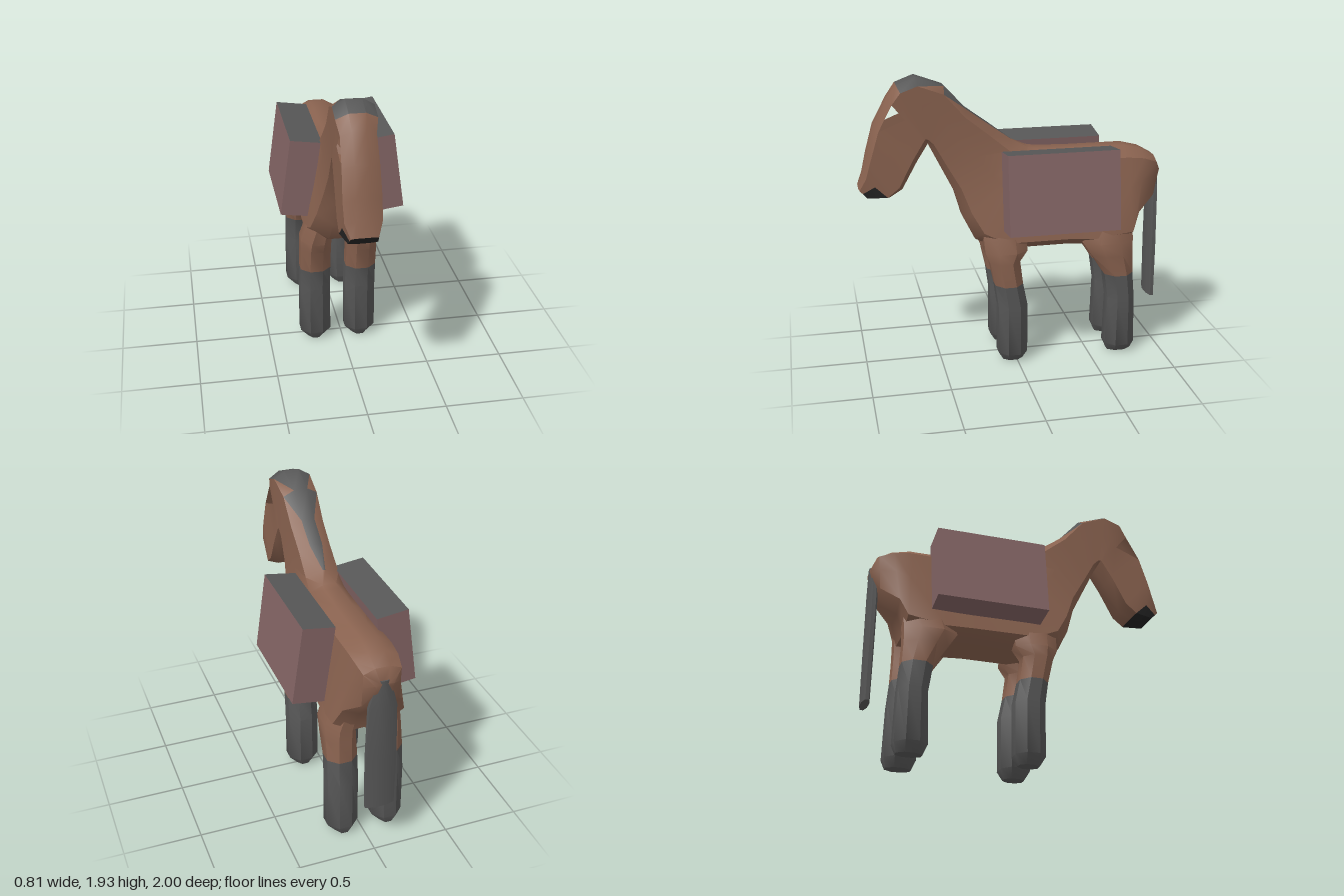
import * as THREE from 'three';
import { toCreasedNormals } from 'three/addons/utils/BufferGeometryUtils.js';

const CX = -0.03; // the animal stands slightly off the centre of its load

function material(name, color, side = THREE.FrontSide) {
  const m = new THREE.MeshStandardMaterial({ color, side });
  m.name = name;
  return m;
}

// Skin a list of equal rings; paint(i, j, k) picks a material index per triangle, -1 leaves a hole
function loft(rings, paint, flip = () => false) {
  const n = rings[0].length;
  const lists = [[], [], []];
  const add = (m, ...t) => { if (m >= 0) lists[m].push(...t); };
  for (let i = 0; i < rings.length - 1; i++) {
    for (let j = 0; j < n; j++) {
      const a = i * n + j, a1 = i * n + (j + 1) % n, b = a + n, b1 = a1 + n;
      if (flip(i, j)) {
        add(paint(i, j, 0), a, a1, b1);
        add(paint(i, j, 1), a, b1, b);
      } else {
        add(paint(i, j, 0), a, a1, b);
        add(paint(i, j, 1), a1, b1, b);
      }
    }
  }
  const last = (rings.length - 1) * n;
  for (let k = 1; k < n - 1; k++) {
    add(paint(0, 4, 0), 0, k + 1, k);
    add(paint(rings.length - 2, 4, 0), last, last + k, last + k + 1);
  }
  const geo = new THREE.BufferGeometry();
  geo.setAttribute('position', new THREE.Float32BufferAttribute(rings.flat(2), 3));
  geo.setIndex(lists.flat());
  let start = 0;
  lists.forEach((l, m) => {
    if (l.length) geo.addGroup(start, l.length, m);
    start += l.length;
  });
  return toCreasedNormals(geo, 0.75);
}

// Body ring from a top point to a bottom point, with half widths at both ends
const LEVELS = [0, 0.1, 0.42, 0.88, 1];
function bodyRing([tz, ty, bz, by, wTop, wBot, ridge = 0.4]) {
  const side = LEVELS.map((t, i) => {
    const w = (wTop + (wBot - wTop) * t) * (i === 0 ? ridge : i === 4 ? 0.4 : 1);
    return [w, ty + (by - ty) * t, tz + (bz - tz) * t];
  });
  return [
    ...side.map(([x, y, z]) => [CX + x, y, z]),
    ...side.reverse().map(([x, y, z]) => [CX - x, y, z]),
  ];
}

// Horizontal eight-sided ring for legs and tail
function octagon(x, y, zFront, zBack, rx) {
  const f = 1 / Math.cos(Math.PI / 8);
  return Array.from({ length: 8 }, (_, k) => {
    const t = (k + 0.5) * Math.PI / 4;
    return [x + Math.cos(t) * rx * f, y, (zFront + zBack) / 2 + Math.sin(t) * (zFront - zBack) / 2 * f];
  });
}

export function createModel() {
  const coat = material('brown coat', 0x89624f, THREE.DoubleSide);
  const grey = material('dark grey hair', 0x575757);
  const black = material('black muzzle', 0x232323);
  const mauve = material('mauve box', 0x836464);
  const skins = [coat, grey, black];

  const model = new THREE.Group();
  model.name = 'packAnimal';
  function part(name, geometry, mat) {
    const mesh = new THREE.Mesh(geometry, mat);
    mesh.name = name;
    model.add(mesh);
    return mesh;
  }

  // Head, neck and torso, from muzzle to rump: topZ, topY, bottomZ, bottomY, half widths
  const rings = [
    [1.00, 1.23, 0.94, 1.165, 0.08, 0.09, 0.7],
    [0.97, 1.32, 0.80, 1.16, 0.11, 0.12],
    [0.94, 1.45, 0.72, 1.21, 0.115, 0.12],
    [0.89, 1.63, 0.62, 1.39, 0.11, 0.12],
    [0.80, 1.80, 0.55, 1.50, 0.105, 0.12],
    [0.74, 1.885, 0.55, 1.50, 0.125, 0.115],
    [0.62, 1.93, 0.545, 1.49, 0.125, 0.115],
    [0.44, 1.865, 0.53, 1.46, 0.115, 0.115],
    [0.30, 1.71, 0.46, 1.32, 0.11, 0.12],
    [0.15, 1.60, 0.38, 1.16, 0.105, 0.14],
    [0.00, 1.49, 0.33, 0.99, 0.105, 0.18, 0.08],
    [-0.10, 1.44, 0.26, 0.85, 0.11, 0.215],
    [-0.15, 1.43, 0.10, 0.77, 0.12, 0.235],
    [-0.35, 1.42, -0.35, 0.77, 0.13, 0.23],
    [-0.60, 1.42, -0.52, 0.76, 0.13, 0.24],
    [-0.75, 1.42, -0.78, 0.80, 0.13, 0.25],
    [-0.87, 1.39, -0.82, 0.94, 0.13, 0.20],
    [-0.96, 1.34, -0.94, 1.05, 0.12, 0.12],
    [-1.00, 1.25, -0.99, 1.18, 0.06, 0.05],
  ].map(bodyRing);
  const EYE = 3;
  const strip = (j) => (j <= 4 ? j : 8 - j); // mirrored strip number, -1 along the spine
  const isEye = (i, j) => i === EYE && strip(j) === 1;
  const paintBody = (i, j, k) => {
    const s = strip(j);
    if (isEye(i, j) && k === 1) return -1; // open eye socket
    if (i === 0 && s >= 2) return 2; // muzzle
    if (s === -1 && i >= 5 && i <= 9) return 1; // mane along the crest
    if (s === 0 && (i === 5 || ((i === 6 || i === 7) && k === 0))) return 1; // mane sides
    return 0;
  };
  part('body', loft(rings, paintBody, (i, j) => (j > 4) !== isEye(i, j)), skins);

  // Legs: y, front z, back z, offset from the middle, half width
  const frontLeg = [
    [0.98, 0.22, -0.06, 0.10, 0.08],
    [0.78, 0.21, -0.07, 0.15, 0.10],
    [0.71, 0.18, -0.02, 0.153, 0.10],
    [0.55, 0.145, -0.04, 0.153, 0.10],
    [0.40, 0.125, -0.07, 0.153, 0.102],
    [0.06, 0.125, -0.07, 0.153, 0.102],
    [0.00, 0.09, -0.04, 0.153, 0.05],
  ];
  const backLeg = [
    [1.00, -0.50, -0.80, 0.10, 0.08],
    [0.80, -0.45, -0.79, 0.15, 0.10],
    [0.71, -0.51, -0.79, 0.153, 0.10],
    [0.57, -0.60, -0.795, 0.153, 0.10],
    [0.40, -0.625, -0.81, 0.153, 0.102],
    [0.06, -0.615, -0.82, 0.153, 0.102],
    [0.00, -0.64, -0.80, 0.153, 0.05],
  ];
  for (const side of [1, -1]) {
    const label = side > 0 ? 'Left' : 'Right';
    for (const [name, rows] of [['front', frontLeg], ['back', backLeg]]) {
      const legRings = rows.map(([y, zf, zb, off, r]) => octagon(CX + side * off, y, zf, zb, r));
      part(`${name}Leg${label}`, loft(legRings, (i) => (i < 3 ? 0 : 1)), skins);
    }

    // Tilted pack box with a grey lid
    const box = part(`packBox${label}`, new THREE.BoxGeometry(0.207, 0.515, 0.72),
      [mauve, mauve, grey, mauve, mauve, mauve]);
    box.position.set(side * 0.269, 1.21, -0.265);
    box.rotation.z = side * 0.137;
  }

  // Tail
  const tail = [
    [1.27, -0.95, -1.0, 0.04],
    [1.08, -0.94, -1.0, 0.09],
    [0.70, -0.945, -1.0, 0.10],
    [0.34, -0.95, -1.0, 0.095],
  ].map(([y, zf, zb, r]) => octagon(CX, y, zf, zb, r));
  part('tail', loft(tail, () => 1), skins);

  return model;
}
